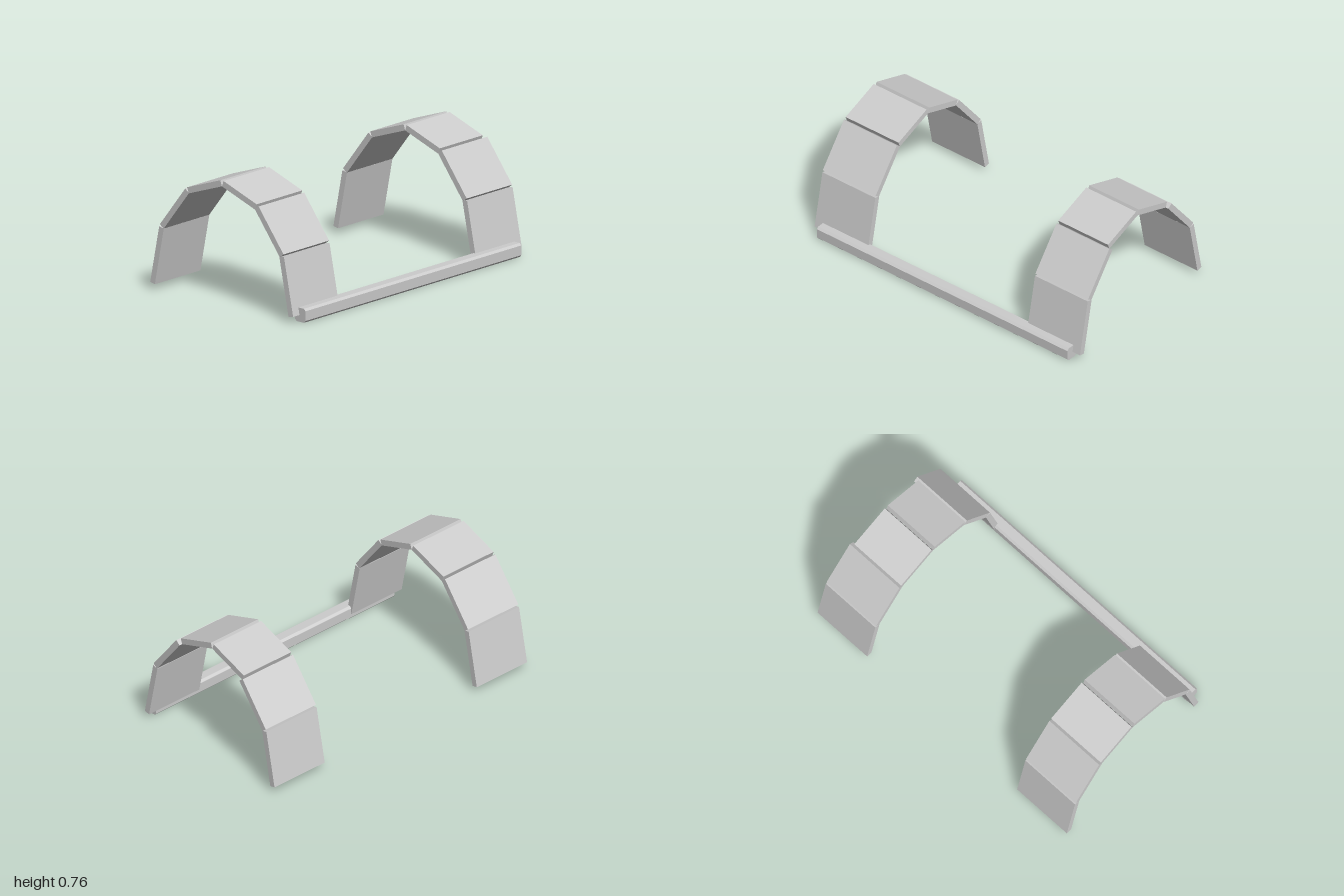
import * as THREE from 'three';

const THICKNESS = 0.037;

// Centre line of each panel in the side plane: [z, y] start, [z, y] end, outer x on the left arch
const PANELS = [
  { name: 'frontLowerPanel', a: [0.519, 0.037], b: [0.447, 0.388], outer: 0.997 },
  { name: 'frontMiddlePanel', a: [0.447, 0.394], b: [0.252, 0.648], outer: 0.997 },
  { name: 'frontTopPanel', a: [0.245, 0.652], b: [-0.014, 0.744], outer: 0.975 },
  { name: 'rearTopPanel', a: [-0.027, 0.744], b: [-0.287, 0.652], outer: 0.975 },
  { name: 'rearMiddlePanel', a: [-0.293, 0.648], b: [-0.492, 0.394], outer: 0.997 },
  { name: 'rearLowerPanel', a: [-0.494, 0.388], b: [-0.564, 0.037], outer: 0.997 },
];

// One flat slab laid between two points of the arch
function makePanel({ name, a, b }, x0, x1, material) {
  const dz = b[0] - a[0];
  const dy = b[1] - a[1];
  const geometry = new THREE.BoxGeometry(x1 - x0, THICKNESS, Math.hypot(dz, dy));
  const panel = new THREE.Mesh(geometry, material);
  panel.name = name;
  panel.position.set((x0 + x1) / 2, (a[1] + b[1]) / 2, (a[0] + b[0]) / 2);
  panel.rotation.x = Math.atan2(-dy, dz);
  return panel;
}

// Long bar with chamfered edges, running along x
function makeBar(material) {
  const w = 0.041, h = 0.0425, c = 0.013, length = 1.885;
  const shape = new THREE.Shape([
    [-w + c, -h], [w - c, -h], [w, -h + c], [w, h - c],
    [w - c, h], [-w + c, h], [-w, h - c], [-w, -h + c],
  ].map(([x, y]) => new THREE.Vector2(x, y)));
  const geometry = new THREE.ExtrudeGeometry(shape, { depth: length, bevelEnabled: false });
  geometry.translate(0, 0, -length / 2);
  geometry.rotateY(Math.PI / 2);
  const bar = new THREE.Mesh(geometry, material);
  bar.name = 'frontBar';
  bar.position.set(-0.002, h, 0.543);
  return bar;
}

export function createModel() {
  const grey = new THREE.MeshStandardMaterial({ color: 0xcccccc });
  grey.name = 'light grey';

  const model = new THREE.Group();
  model.name = 'archedCovers';

  // Two arches of six slabs each
  const leftArch = new THREE.Group();
  leftArch.name = 'leftArch';
  const rightArch = new THREE.Group();
  rightArch.name = 'rightArch';
  for (const p of PANELS) {
    leftArch.add(makePanel(p, 0.6, p.outer, grey));
    rightArch.add(makePanel(p, -1, -0.602, grey));
  }

  model.add(leftArch, rightArch, makeBar(grey));
  return model;
}
